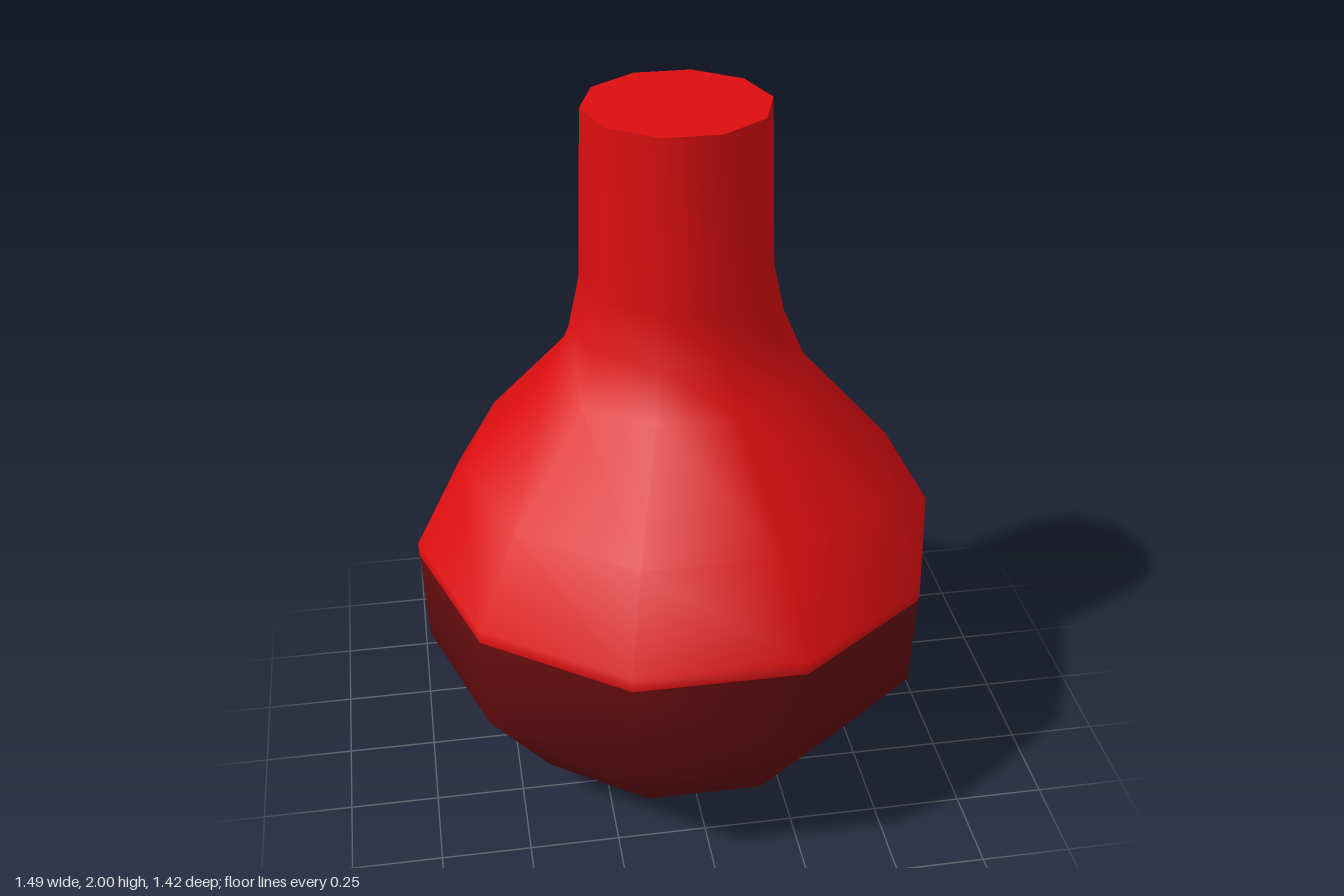
import * as THREE from 'three';

const SIDES = 10;

export function createModel() {
  const red = new THREE.MeshStandardMaterial({ color: 0xdd0e10 });
  red.name = 'bright red';
  const darkRed = new THREE.MeshStandardMaterial({ color: 0x6a0e10 });
  darkRed.name = 'dark red';

  const model = new THREE.Group();
  model.name = 'flask';

  // Outer profile: rounded belly, sloping shoulder, straight neck (radius, height)
  const profile = [
    [0.245, 0], [0.52, 0.13], [0.73, 0.41], [0.743, 0.69], [0.745, 0.73],
    [0.605, 0.97], [0.355, 1.25], [0.295, 1.39], [0.265, 1.53], [0.25, 2],
  ].map(([r, y]) => new THREE.Vector2(r, y));
  const bodyGeo = new THREE.LatheGeometry(profile, SIDES, Math.PI / 2);

  // Dark lower belly and bright upper part, one pair of groups per side
  const darkBands = 3;
  const bands = profile.length - 1;
  for (let i = 0; i < SIDES; i++) {
    const start = i * bands * 6;
    bodyGeo.addGroup(start, darkBands * 6, 1);
    bodyGeo.addGroup(start + darkBands * 6, (bands - darkBands) * 6, 0);
  }
  const body = new THREE.Mesh(bodyGeo, [red, darkRed]);
  body.name = 'body';
  model.add(body);

  // Flat ten-sided ends
  const addEnd = (name, radius, y, turn, material) => {
    const end = new THREE.Mesh(new THREE.CircleGeometry(radius, SIDES).rotateX(turn), material);
    end.position.y = y;
    end.name = name;
    model.add(end);
  };
  addEnd('neckTop', 0.25, 2, -Math.PI / 2, red);
  addEnd('base', 0.245, 0, Math.PI / 2, darkRed);

  return model;
}
